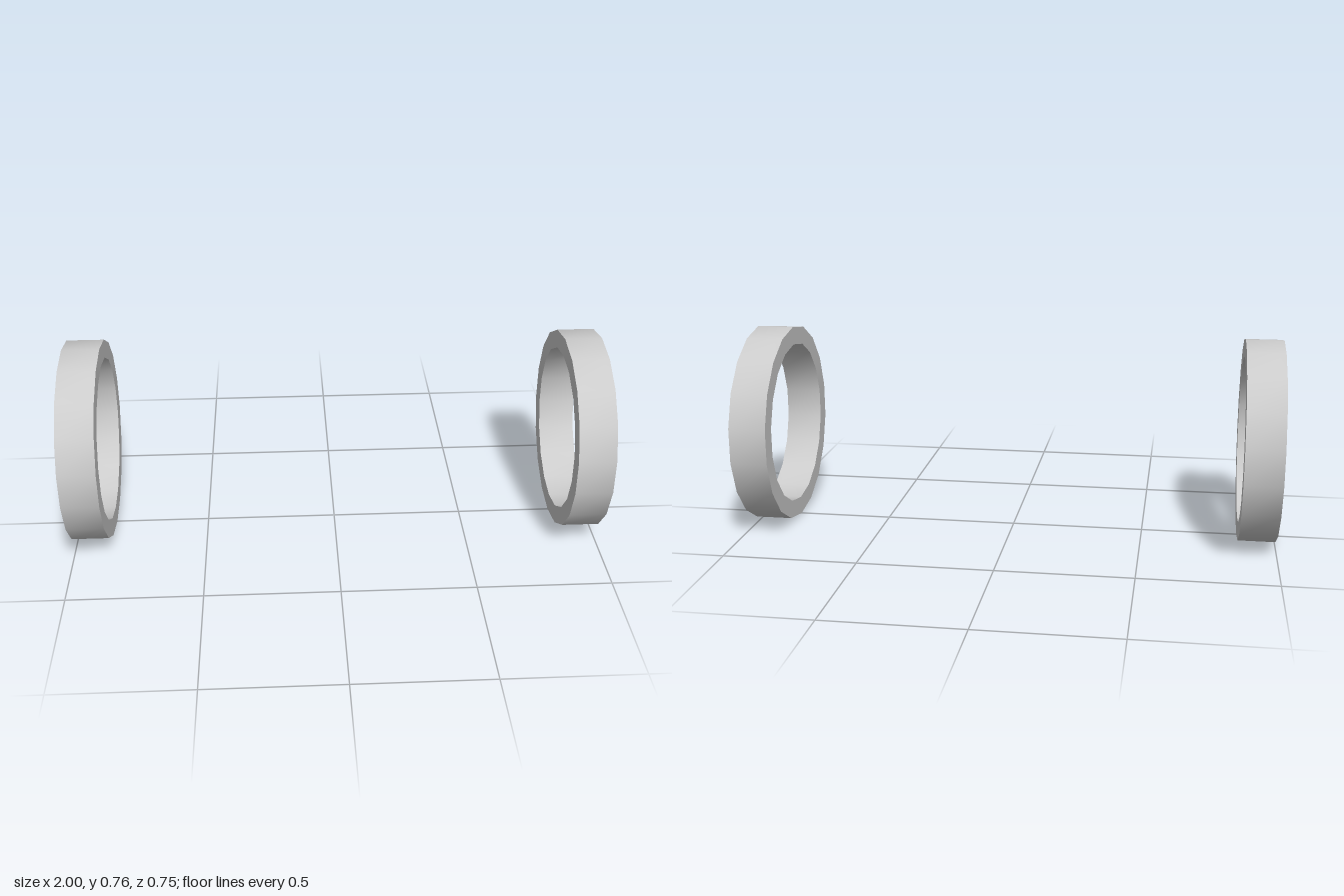
import * as THREE from 'three';
import { toCreasedNormals } from 'three/addons/utils/BufferGeometryUtils.js';

const OUTER = 0.379, INNER = 0.311, WIDTH = 0.139, SIDES = 18;

// Square-section ring around the x axis, with a corner at the very top
function ringGeometry() {
  const h = WIDTH / 2;
  const profile = [[OUTER, -h], [OUTER, h], [INNER, h], [INNER, -h], [OUTER, -h]]
    .map(([r, y]) => new THREE.Vector2(r, y));
  const ring = new THREE.LatheGeometry(profile, SIDES, Math.PI / 2);
  ring.rotateZ(Math.PI / 2);
  return toCreasedNormals(ring, 0.6); // smooth walls, sharp rims
}

export function createModel() {
  const model = new THREE.Group();
  model.name = 'ringPair';
  const geometry = ringGeometry();
  const material = new THREE.MeshStandardMaterial({ color: 0xcccccc });

  // One ring on each side
  for (const [name, side] of [['leftRing', 1], ['rightRing', -1]]) {
    const ring = new THREE.Mesh(geometry, material);
    ring.name = name;
    ring.position.set(side * (1 - WIDTH / 2), OUTER, 0);
    model.add(ring);
  }
  return model;
}
